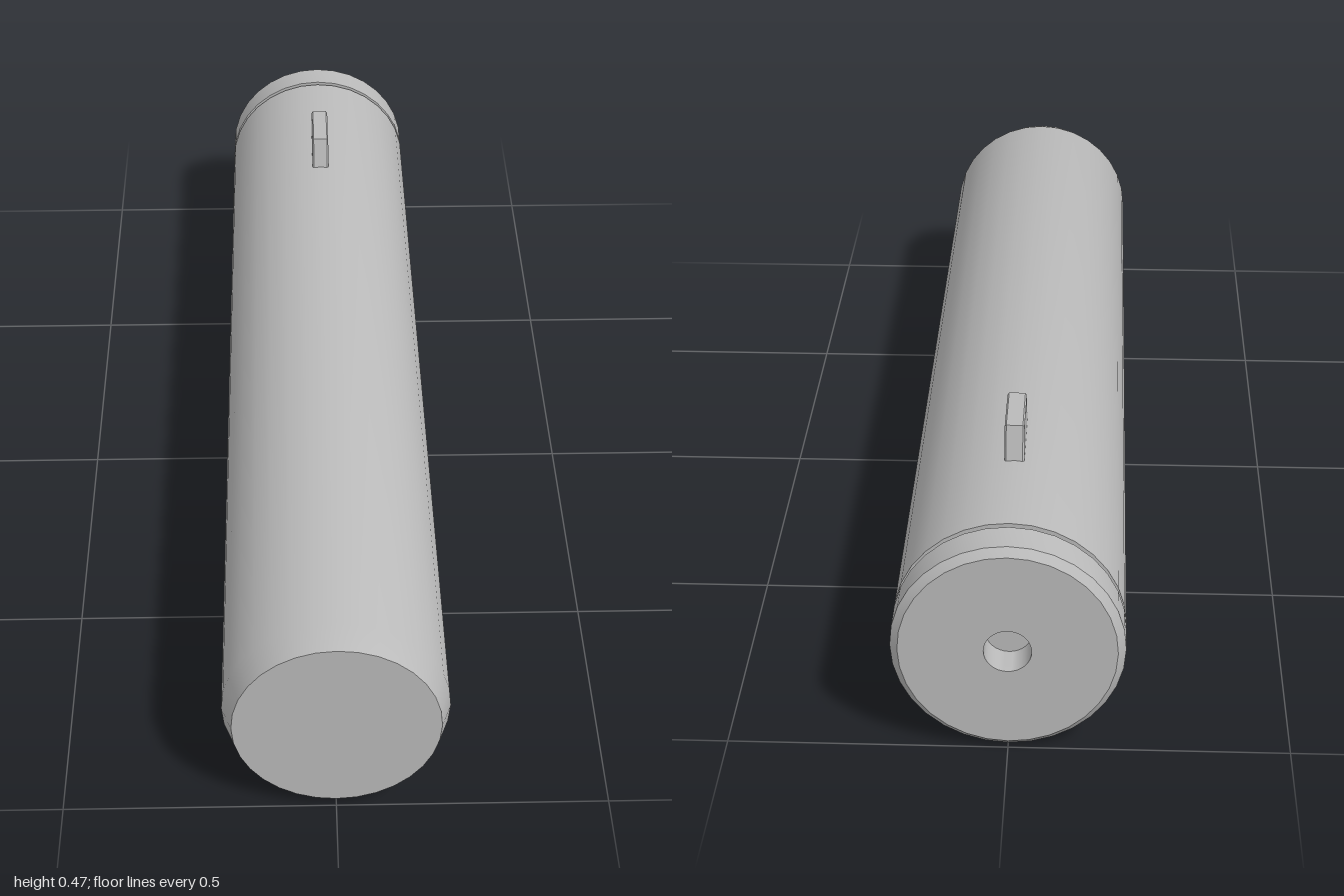
import * as THREE from 'three';
import { toCreasedNormals } from 'three/addons/utils/BufferGeometryUtils.js';

const R = 0.206;        // tube radius
const AXIS_Y = 0.208;   // height of the tube axis

// Turned part: profile of [radius, z] pairs, running from back to front
function turned(name, profile, material) {
  const points = profile.map(([r, z]) => new THREE.Vector2(r, z));
  const geometry = new THREE.LatheGeometry(points, 32);
  geometry.rotateX(Math.PI / 2);
  const mesh = new THREE.Mesh(toCreasedNormals(geometry, 0.5), material);
  mesh.name = name;
  mesh.position.y = AXIS_Y;
  return mesh;
}

export function createModel() {
  const group = new THREE.Group();
  group.name = 'tube';
  const grey = new THREE.MeshStandardMaterial({ color: 0xbababa });
  grey.name = 'grey';

  // Main tube with a gently tapered front rim and a narrow neck at the back
  group.add(turned('body', [
    [0.18, -0.926], [0.18, -0.912], [R, -0.912],
    [R, 0.95], [0.188, 1], [0, 1],
  ], grey));

  // End cap with a chamfered rim and a blind hole in the middle
  group.add(turned('endCap', [
    [0, -0.94], [0.042, -0.94], [0.042, -1], [0.192, -1],
    [R, -0.986], [R, -0.924], [0.18, -0.924],
  ], grey));

  // Slim trapezoidal fin on top, with softened edges
  const bevel = 0.003;
  const shape = new THREE.Shape([
    [0.538, 0.405], [0.697, 0.405], [0.677, 0.474], [0.558, 0.474],
  ].map(([x, y]) => new THREE.Vector2(x, y)));
  const finGeometry = new THREE.ExtrudeGeometry(shape, {
    depth: 0.03, bevelEnabled: true, bevelSize: bevel,
    bevelThickness: bevel, bevelSegments: 1,
  });
  finGeometry.translate(0, 0, -0.015);
  finGeometry.rotateY(Math.PI / 2);
  const fin = new THREE.Mesh(finGeometry, grey);
  fin.name = 'fin';
  group.add(fin);

  return group;
}
